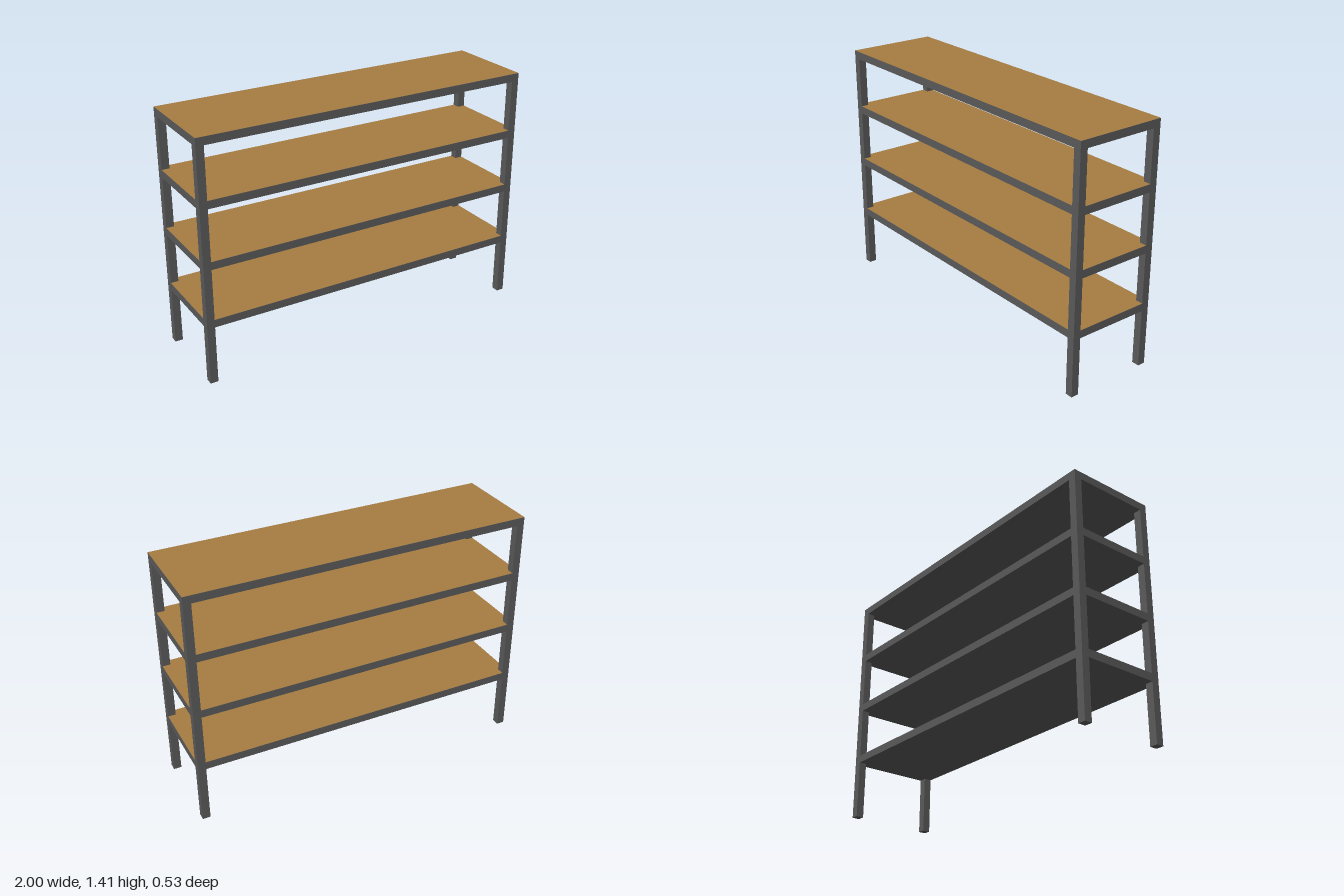
import * as THREE from 'three';

const W = 2, D = 0.533, H = 1.41, T = 0.045;
const shelfTops = [0.383, 0.725, 1.068, H];

export function createModel() {
  const group = new THREE.Group();
  group.name = 'shelvingUnit';
  const steel = new THREE.MeshStandardMaterial({ color: 0x5a5a5a });
  const wood = new THREE.MeshStandardMaterial({ color: 0xa67c42 });

  const addBox = (parent, name, w, h, d, x, y, z) => {
    const mesh = new THREE.Mesh(new THREE.BoxGeometry(w, h, d), steel);
    mesh.name = name;
    mesh.position.set(x, y, z);
    parent.add(mesh);
  };
  const legX = (W - T) / 2, legZ = (D - T) / 2;

  // Four square corner legs
  for (const sx of [-1, 1]) {
    for (const sz of [-1, 1]) {
      const name = (sz > 0 ? 'front' : 'back') + (sx > 0 ? 'Left' : 'Right') + 'Leg';
      addBox(group, name, T, H, T, sx * legX, H / 2, sz * legZ);
    }
  }

  // Shelves: rails between the legs, a flush core and a wooden top surface
  shelfTops.forEach((top, i) => {
    const shelf = new THREE.Group();
    shelf.name = `shelf${i + 1}`;
    shelf.position.y = top;
    for (const s of [-1, 1]) {
      addBox(shelf, s > 0 ? 'frontRail' : 'backRail', W - 2 * T, T, T, 0, -T / 2, s * legZ);
      addBox(shelf, s > 0 ? 'leftRail' : 'rightRail', T, T, D - 2 * T, s * legX, -T / 2, 0);
    }
    addBox(shelf, 'shelfCore', W - 2 * T, T, D - 2 * T, 0, -T / 2, 0);

    const board = new THREE.Mesh(new THREE.PlaneGeometry(W, D).rotateX(-Math.PI / 2), wood);
    board.name = 'woodenTop';
    board.position.y = 0.001;
    shelf.add(board);
    group.add(shelf);
  });

  return group;
}
